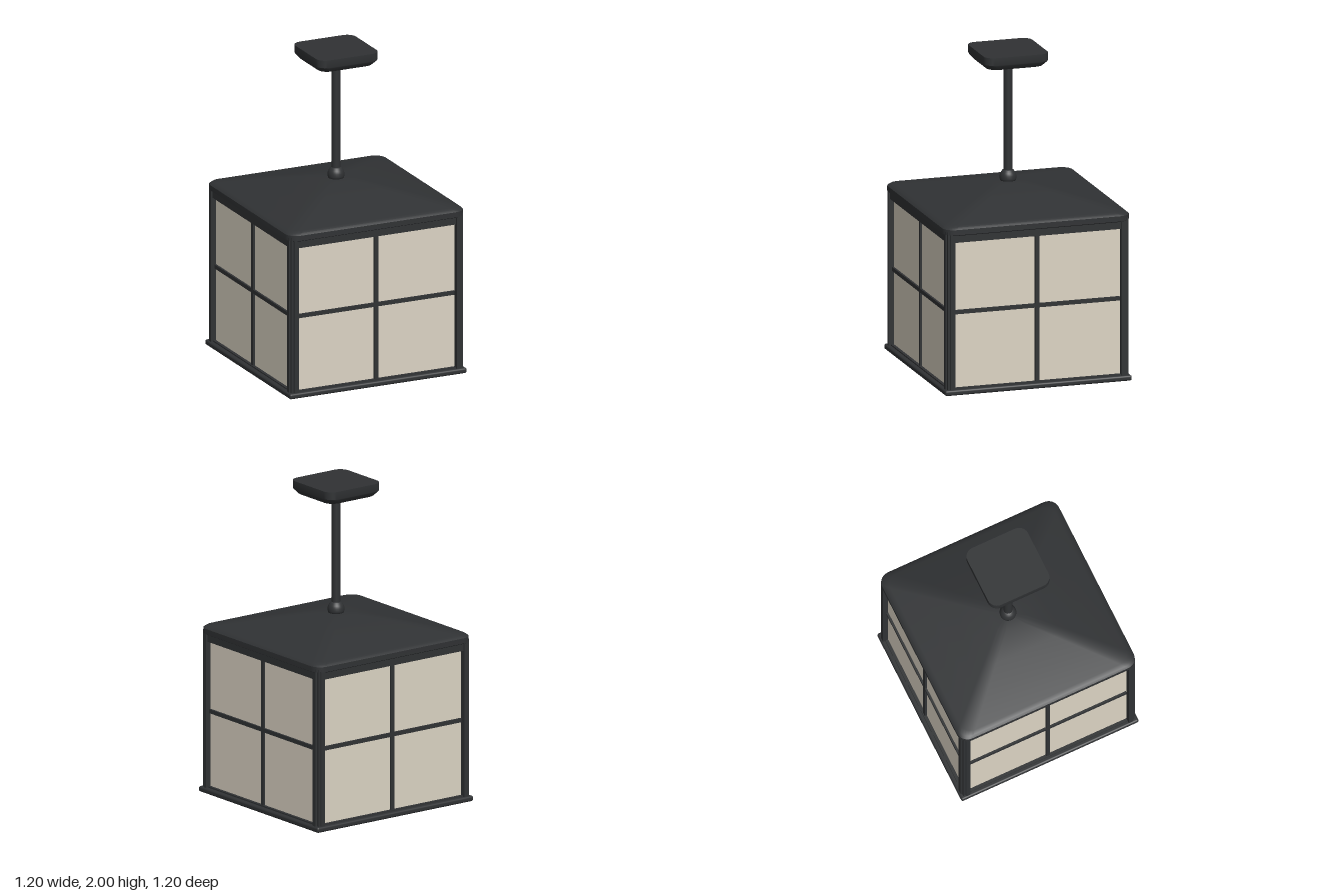
import * as THREE from 'three';
import { toCreasedNormals } from 'three/addons/utils/BufferGeometryUtils.js';
import { RoundedBoxGeometry } from 'three/addons/geometries/RoundedBoxGeometry.js';

const metal = new THREE.MeshStandardMaterial({ color: 0x303234 });
const glass = new THREE.MeshStandardMaterial({ color: 0xdcd4c4 });

function add(parent, name, geometry, material, x = 0, y = 0, z = 0) {
  const mesh = new THREE.Mesh(geometry, material);
  mesh.name = name;
  mesh.position.set(x, y, z);
  parent.add(mesh);
  return mesh;
}

// Closed loft through rounded squares, each given as [half width, corner radius, y], bottom to top
function squareLoft(sections) {
  const steps = 6, n = 4 * (steps + 1), pos = [], index = [];
  for (const [h, r, y] of sections) {
    for (let c = 0; c < 4; c++) {
      for (let s = 0; s <= steps; s++) {
        const a = (c + s / steps) * Math.PI / 2;
        const mid = (c + 0.5) * Math.PI / 2;
        const cx = Math.sign(Math.cos(mid)) * (h - r);
        const cz = Math.sign(Math.sin(mid)) * (h - r);
        pos.push(cx + r * Math.cos(a), y, cz + r * Math.sin(a));
      }
    }
  }
  const last = sections.length - 1;
  for (let k = 0; k < last; k++) {
    for (let i = 0; i < n; i++) {
      const j = (i + 1) % n, a = k * n, b = a + n;
      index.push(a + i, b + i, b + j, a + i, b + j, a + j);
    }
  }
  // End caps
  const lo = pos.length / 3;
  pos.push(0, sections[0][2], 0, 0, sections[last][2], 0);
  for (let i = 0; i < n; i++) {
    const j = (i + 1) % n;
    index.push(lo, i, j, lo + 1, last * n + j, last * n + i);
  }
  const g = new THREE.BufferGeometry();
  g.setAttribute('position', new THREE.Float32BufferAttribute(pos, 3));
  g.setIndex(index);
  return toCreasedNormals(g, 0.5);
}

// Corner post section: a square with stepped outer corner, in the +x +z quadrant
function postGeometry(height) {
  const points = [[0.535, 0.535], [0.59, 0.535], [0.59, 0.562], [0.58, 0.566], [0.58, 0.58],
    [0.566, 0.58], [0.562, 0.59], [0.535, 0.59]];
  const shape = new THREE.Shape(points.map(([x, y]) => new THREE.Vector2(x, y)));
  const g = new THREE.ExtrudeGeometry(shape, { depth: height, bevelEnabled: false });
  return g.rotateX(-Math.PI / 2);
}

export function createModel() {
  const group = new THREE.Group();
  group.name = 'pendantLantern';

  // Base plate
  add(group, 'basePlate', new RoundedBoxGeometry(1.2, 0.034, 1.2, 3, 0.012), metal, 0, 0.017, 0);

  // Four identical sides
  const post = postGeometry(1.0);
  for (let i = 0; i < 4; i++) {
    const side = new THREE.Group();
    side.name = 'side' + (i + 1);
    side.rotation.y = i * Math.PI / 2;
    group.add(side);
    add(side, 'cornerPost', post, metal, 0, 0.03, 0);
    add(side, 'glassPane', new THREE.BoxGeometry(1.08, 0.95, 0.012), glass, 0, 0.5, 0.55);
    add(side, 'verticalBar', new THREE.BoxGeometry(0.025, 0.94, 0.026), metal, 0, 0.495, 0.556);
    add(side, 'horizontalBar', new THREE.BoxGeometry(1.06, 0.025, 0.026), metal, 0, 0.518, 0.556);
    add(side, 'bottomRail', new THREE.BoxGeometry(1.1, 0.015, 0.03), metal, 0, 0.034, 0.56);
    add(side, 'topRail', new THREE.BoxGeometry(1.1, 0.05, 0.04), metal, 0, 0.985, 0.56);
  }

  // Roof with a short upright rim, rising gently to a small flat top
  add(group, 'roof', squareLoft([
    [0.585, 0.06, 1.005], [0.598, 0.07, 1.012], [0.598, 0.07, 1.045], [0.585, 0.07, 1.057],
    [0.56, 0.07, 1.064], [0.4, 0.06, 1.104], [0.25, 0.05, 1.138], [0.1, 0.04, 1.169]
  ]), metal);

  // Collar, stem and ceiling canopy
  const collar = [[0, 1.165], [0.048, 1.165], [0.051, 1.18], [0.051, 1.2], [0.045, 1.217],
    [0.035, 1.232], [0.026, 1.236]].map(([x, y]) => new THREE.Vector2(x, y));
  add(group, 'collar', new THREE.LatheGeometry(collar, 32), metal);
  add(group, 'stem', new THREE.CylinderGeometry(0.027, 0.027, 0.76, 24), metal, 0, 1.55, 0);
  add(group, 'ceilingCanopy', squareLoft([
    [0.172, 0.06, 1.915], [0.18, 0.06, 1.918], [0.202, 0.06, 1.945], [0.205, 0.06, 1.952], [0.205, 0.06, 2]
  ]), metal);

  return group;
}
